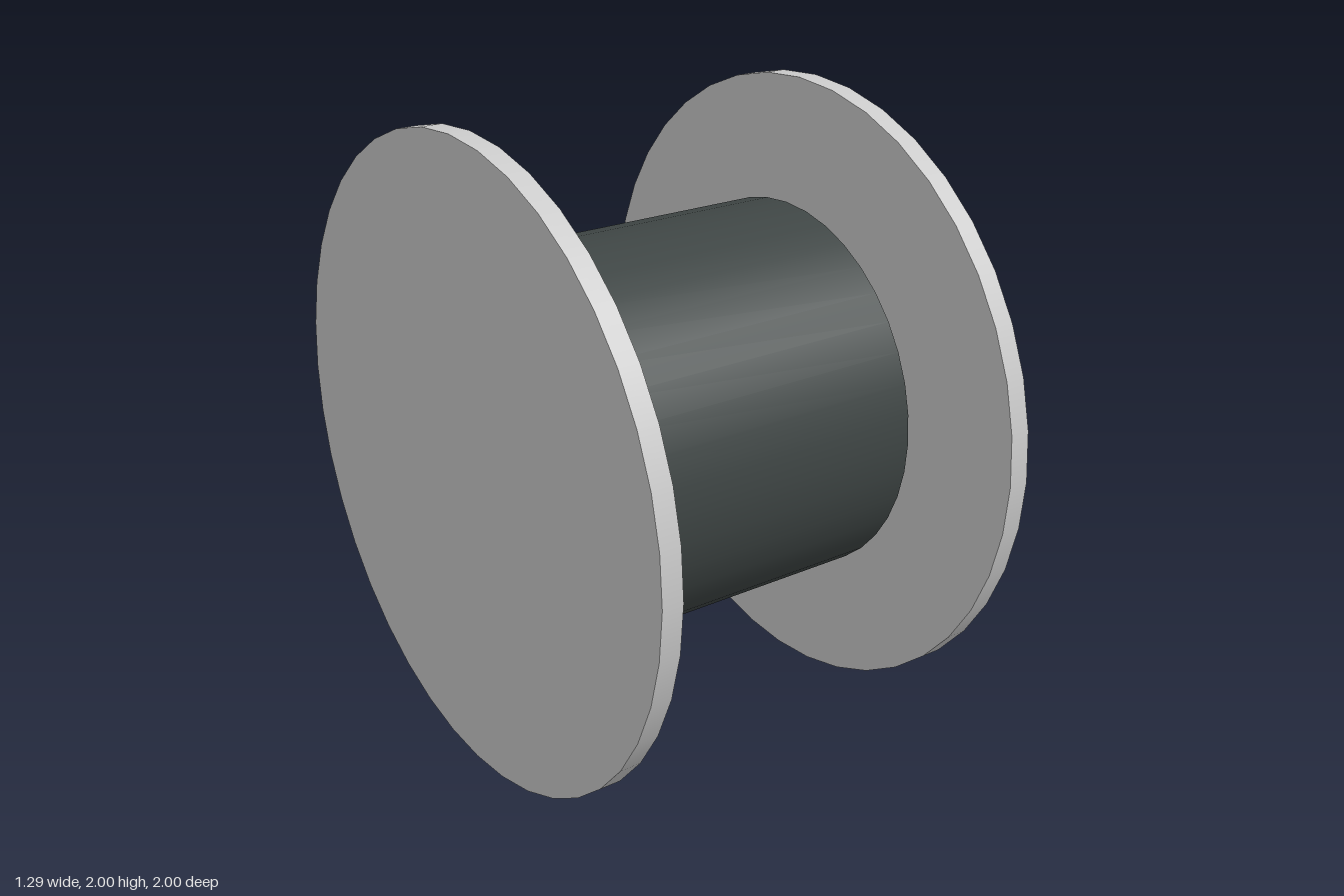
import * as THREE from 'three';

const SEGMENTS = 40;

export function createModel() {
  const model = new THREE.Group();
  model.name = 'cableSpool';

  const lightGrey = new THREE.MeshStandardMaterial({ name: 'light grey', color: 0xcccccc });
  const charcoal = new THREE.MeshStandardMaterial({ name: 'charcoal', color: 0x3f4645 });

  // Cylinder lying along x, centred on the spool axis
  function disc(name, radius, width, x, material) {
    const geometry = new THREE.CylinderGeometry(radius, radius, width, SEGMENTS);
    geometry.rotateZ(Math.PI / 2);
    const mesh = new THREE.Mesh(geometry, material);
    mesh.name = name;
    mesh.position.set(x, 1, 0);
    model.add(mesh);
  }

  // Core running between the flanges
  disc('core', 0.39, 1.17, 0, lightGrey);

  // Wound cable, slightly shorter than the core
  disc('winding', 0.61, 1.09, 0, charcoal);

  // Flanges at both ends
  disc('leftFlange', 1, 0.066, 0.611, lightGrey);
  disc('rightFlange', 1, 0.066, -0.611, lightGrey);

  return model;
}
